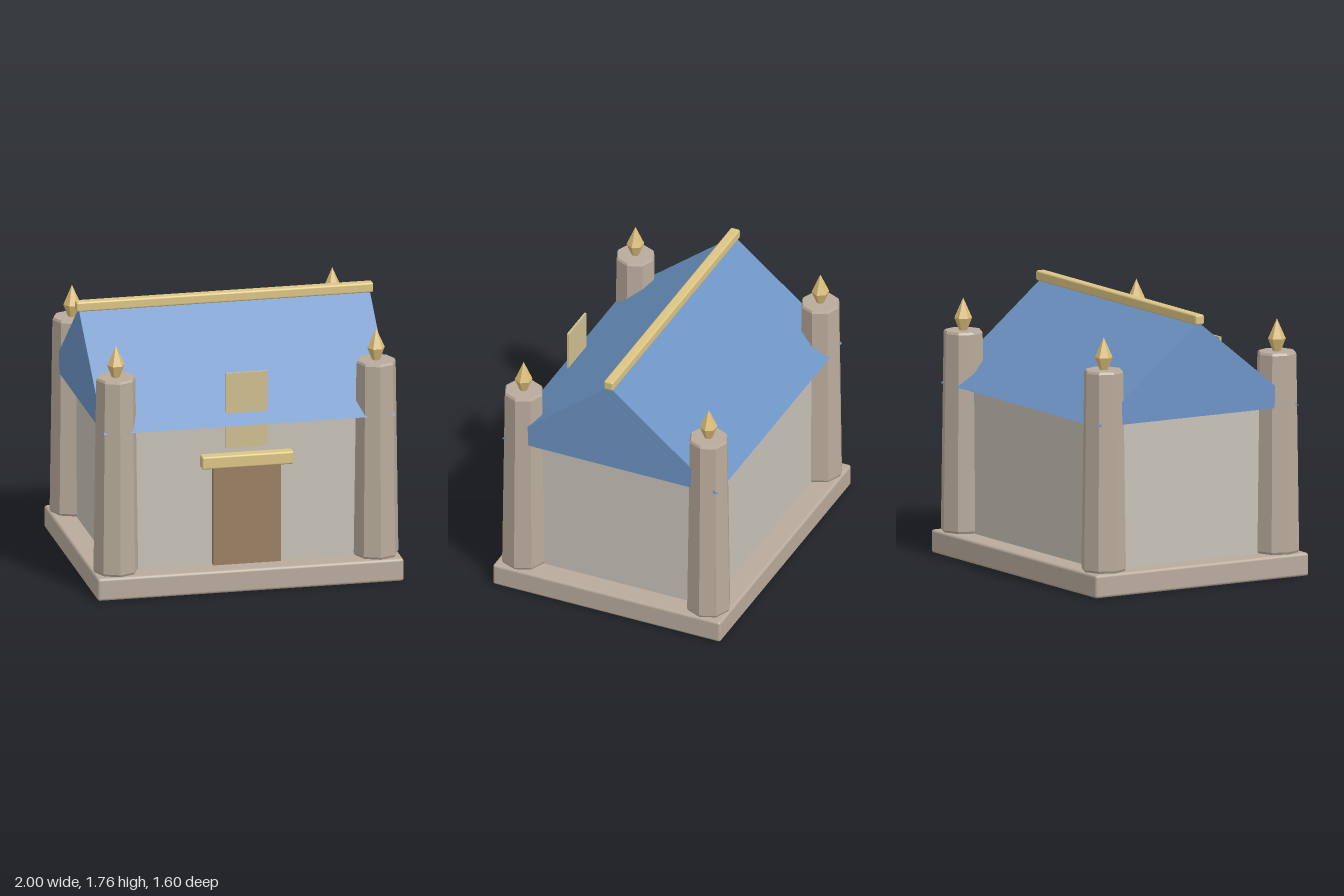
import * as THREE from 'three';
import { RoundedBoxGeometry } from 'three/addons/geometries/RoundedBoxGeometry.js';

const paint = (color, flatShading = false) => new THREE.MeshStandardMaterial({ color, flatShading });

export function createModel() {
  const group = new THREE.Group();
  const stone = paint(0xb9ab9c);
  const stoneFaceted = paint(0xb9ab9c, true);
  const plaster = paint(0xc8c2b8);
  const gold = paint(0xdcc584);
  const goldFaceted = paint(0xdcbe7a, true);
  const blue = paint(0x6c93c4, true);
  const wood = paint(0x9b8062);
  const glass = paint(0xcfbf90);

  const add = (name, geometry, material, x = 0, y = 0, z = 0) => {
    const mesh = new THREE.Mesh(geometry, material);
    mesh.name = name;
    mesh.position.set(x, y, z);
    group.add(mesh);
    return mesh;
  };
  // Block with softened edges, placed by its centre
  const block = (name, w, h, d, bevel, material, x, y, z) =>
    add(name, new RoundedBoxGeometry(w, h, d, 2, bevel), material, x, y, z);
  const lathe = (profile, sides, start = 0) =>
    new THREE.LatheGeometry(profile.map(([r, y]) => new THREE.Vector2(r, y)), sides, start);

  // Plinth and walls
  block('base', 2, 0.15, 1.6, 0.018, stone, 0, 0.075, 0);
  add('walls', new THREE.BoxGeometry(1.7, 0.96, 1.3), plaster, 0, 0.63, 0);

  // Gabled roof: triangular prism running along x
  const gable = new THREE.Shape();
  gable.moveTo(-0.755, 0);
  gable.lineTo(0.755, 0);
  gable.lineTo(0, 0.61);
  const roofGeometry = new THREE.ExtrudeGeometry(gable, { depth: 1.9, bevelEnabled: false });
  roofGeometry.translate(0, 0, -0.95).rotateY(Math.PI / 2);
  add('roof', roofGeometry, blue, 0, 1.1, 0);
  block('ridgeBeam', 1.94, 0.065, 0.065, 0.012, gold, 0, 1.728, 0);

  // Entrance, and the panel that rises through the front roof slope
  add('door', new THREE.BoxGeometry(0.44, 0.65, 0.06), wood, 0, 0.48, 0.66);
  block('lintel', 0.6, 0.085, 0.08, 0.012, gold, 0, 0.85, 0.68);
  add('window', new THREE.BoxGeometry(0.27, 0.5, 0.014), glass, 0, 1.18, 0.67);

  // Tapered eight-sided corner towers with six-sided spikes
  const tower = lathe(
    [[0, 0.15], [0.138, 0.15], [0.146, 0.165], [0.128, 1.435], [0.12, 1.45], [0, 1.45]], 8);
  const spike = lathe(
    [[0, 1.445], [0.024, 1.445], [0.057, 1.53], [0, 1.66]], 6, Math.PI / 2);
  for (const x of [-0.85, 0.85]) {
    for (const z of [-0.65, 0.65]) {
      const label = (z > 0 ? 'front' : 'back') + (x > 0 ? 'Left' : 'Right');
      add(label + 'Tower', tower, stoneFaceted, x, 0, z);
      add(label + 'Spike', spike, goldFaceted, x, 0, z);
    }
  }
  return group;
}
